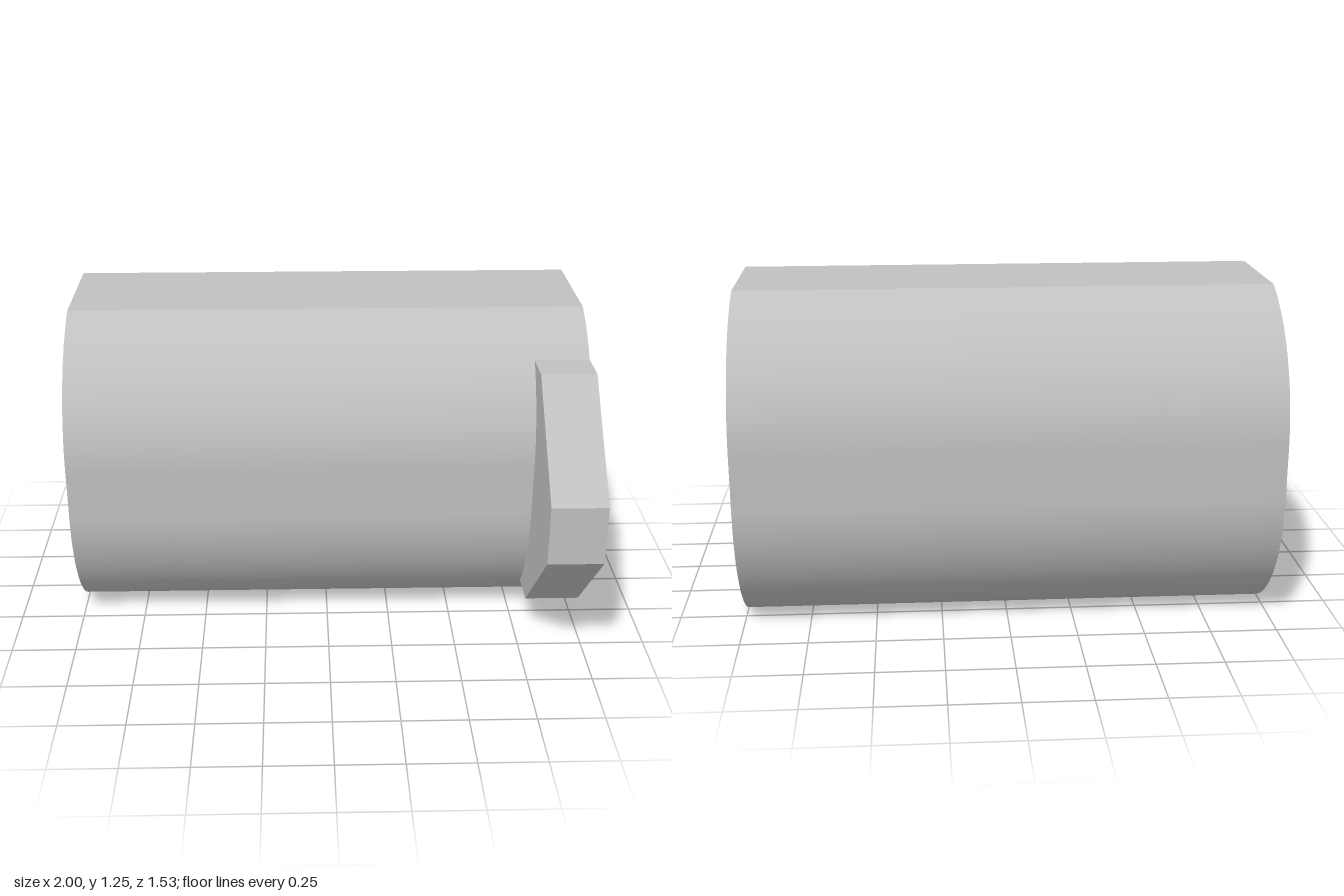
import * as THREE from 'three';
import { toCreasedNormals } from 'three/addons/utils/BufferGeometryUtils.js';

const R = 0.577;          // radius of the rounded flanks
const LIFT = 0.1;         // flank arc centres sit this far above and below the axis
const HALF_H = 0.627;     // half height between the two flats
const AXIS_Z = -0.186;
const STEP_X = -0.58;     // where the wide bore meets the narrow one
const PI = Math.PI;

// Rounded barrel section cut flat at top and bottom
function barrelShape() {
  const a = Math.asin((HALF_H - LIFT) / R);
  const s = new THREE.Shape();
  s.absarc(0, LIFT, R, 0, a, false);
  s.absarc(0, LIFT, R, PI - a, PI, false);
  s.absarc(0, -LIFT, R, PI, PI + a, false);
  s.absarc(0, -LIFT, R, -a, 0, false);
  s.closePath();
  return s;
}

// Teardrop hole: a circle with a 45 degree roof
function teardrop(r) {
  const p = new THREE.Path();
  p.moveTo(0, r * Math.SQRT2);
  p.absarc(0, 0, r, PI * 0.75, PI * 2.25, false);
  p.closePath();
  return p;
}

// Tapered lug whose inner edge follows the barrel flank
function lugShape() {
  const h = 0.482;
  const a = Math.asin((h - LIFT) / R);
  const s = new THREE.Shape();
  s.moveTo(-0.58, h);
  s.lineTo(-0.951, 0.115);
  s.lineTo(-0.951, -0.115);
  s.lineTo(-0.58, -h);
  s.absarc(0, -LIFT, R, PI + a, PI, true);
  s.absarc(0, LIFT, R, PI, PI - a, true);
  s.closePath();
  return s;
}

export function createModel() {
  const group = new THREE.Group();
  const grey = new THREE.MeshStandardMaterial({ color: 0xc0c0c0 });
  grey.name = 'lightGrey';

  // Extrudes a section along x between two positions
  function addPart(name, shape, x0, x1) {
    const raw = new THREE.ExtrudeGeometry(shape, {
      depth: x1 - x0, bevelEnabled: false, curveSegments: 32,
    });
    raw.clearGroups();
    raw.rotateY(PI / 2);
    raw.translate(x0, HALF_H, AXIS_Z);
    const mesh = new THREE.Mesh(toCreasedNormals(raw, PI / 9), grey);
    mesh.name = name;
    group.add(mesh);
  }

  // Closed end with the narrow bore
  const narrow = barrelShape();
  narrow.holes.push(teardrop(0.214));
  addPart('narrowBoreBarrel', narrow, -1, STEP_X);

  // Main sleeve with the wide bore
  const wide = barrelShape();
  wide.holes.push(teardrop(0.386));
  addPart('wideBoreBarrel', wide, STEP_X, 1);

  // Locating lug at the open end
  addPart('lug', lugShape(), 0.79, 1);

  return group;
}
